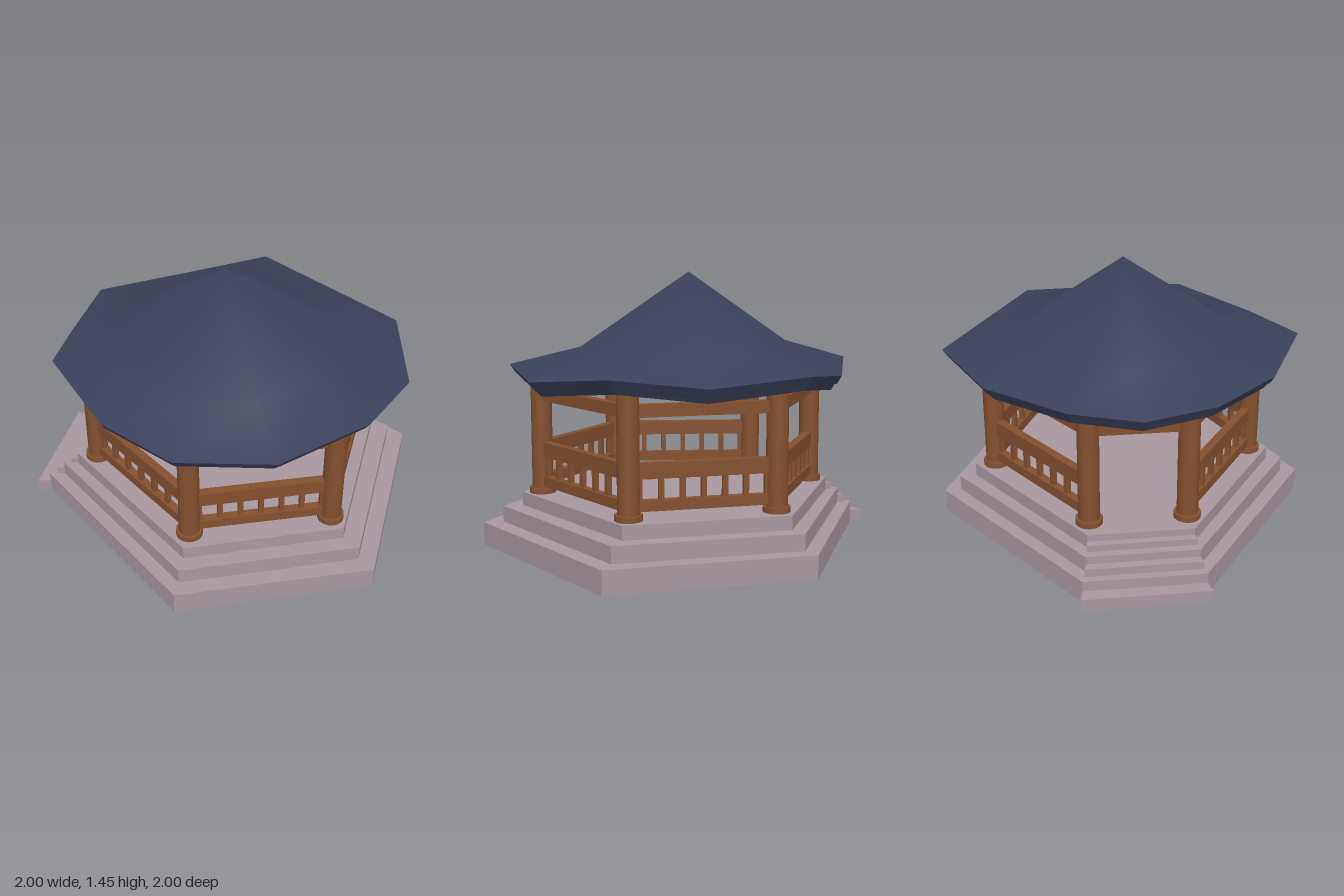
import * as THREE from 'three';
import { mergeVertices } from 'three/addons/utils/BufferGeometryUtils.js';

const stone = new THREE.MeshStandardMaterial({ color: 0xa8979f });
const wood = new THREE.MeshStandardMaterial({ color: 0x84502f });
const tile = new THREE.MeshStandardMaterial({ color: 0x3b415b });
stone.name = 'stone';
wood.name = 'wood';
tile.name = 'roofTile';

const CX = 0.02; // x of the pavilion's own centre

export function createModel() {
  const model = new THREE.Group();
  model.name = 'pavilion';

  const add = (name, geometry, material, parent = model) => {
    const mesh = new THREE.Mesh(geometry, material);
    mesh.name = name;
    parent.add(mesh);
    return mesh;
  };

  // Upright prism over a plan outline given as [x, z] pairs
  const prism = (name, outline, y0, y1, hole) => {
    const points = (list) => list.map(([x, z]) => new THREE.Vector2(x, -z));
    const shape = new THREE.Shape(points(outline));
    // The hole runs the other way round, so its walls face inwards
    if (hole) shape.holes.push(new THREE.Path(points(hole).reverse()));
    const geometry = new THREE.ExtrudeGeometry(shape, { depth: y1 - y0, bevelEnabled: false });
    geometry.rotateX(-Math.PI / 2).translate(0, y0, 0);
    add(name, geometry, stone);
  };

  // Uneven hexagon, mirrored in z: right pair, apex pair, left pair
  const hexagon = (rx, rz, apex, lx, lz) => [
    [rx, -rz], [rx, rz], [CX, apex], [lx, lz], [lx, -lz], [CX, -apex],
  ];

  // Stepped platform, the lowest tier hollow underneath
  const low = hexagon(0.97, 0.565, 1, -0.93, 0.31);
  const lowInside = low.map(([x, z]) => [CX + (x - CX) * 0.985, z * 0.985]);
  prism('lowerTierWall', low, 0, 0.11, lowInside);
  prism('lowerTierTop', low, 0.11, 0.122);
  prism('middleTier', hexagon(0.88, 0.51, 0.91, -0.845, 0.288), 0.122, 0.208);
  prism('floorTier', hexagon(0.785, 0.465, 0.82, -0.765, 0.27), 0.208, 0.28);

  // Entrance steps on the narrow side, with a support inside the hollow tier
  const step = (name, x0, w0, x1, w1, y0, y1) =>
    prism(name, [[x0, w0], [x0, -w0], [x1, -w1], [x1, w1]], y0, y1);
  step('entranceStep', -1, 0.325, -0.87, 0.3, 0, 0.067);
  step('stepSupport', -0.9, 0.305, -0.74, 0.3, 0.067, 0.11);
  step('entranceStep', -0.89, 0.297, -0.82, 0.28, 0.122, 0.165);
  step('entranceStep', -0.803, 0.278, -0.74, 0.265, 0.208, 0.243);

  // Columns with round footings
  const posts = hexagon(0.7, 0.398, 0.705, -0.643, 0.25);
  for (const [x, z] of posts) {
    const column = new THREE.Group();
    column.name = 'column';
    column.position.set(x, 0, z);
    model.add(column);
    add('columnShaft', new THREE.CylinderGeometry(0.055, 0.055, 0.68, 24), wood, column).position.y = 0.63;
    add('columnFooting', new THREE.CylinderGeometry(0.069, 0.069, 0.03, 24), wood, column).position.y = 0.295;
  }

  // Beams all round, railings on every side but the entrance
  posts.forEach(([x0, z0], i) => {
    const [x1, z1] = posts[(i + 1) % 6];
    const length = Math.hypot(x1 - x0, z1 - z0);
    const side = new THREE.Group();
    side.name = 'railingSide';
    side.position.set((x0 + x1) / 2, 0, (z0 + z1) / 2);
    side.rotation.y = -Math.atan2(z1 - z0, x1 - x0);
    model.add(side);
    const bar = (name, y0, y1) =>
      add(name, new THREE.BoxGeometry(length - 0.09, y1 - y0, 0.045), wood, side).position.y = (y0 + y1) / 2;
    bar('topBeam', 0.778, 0.84);
    if (i === 3) return;
    bar('handRail', 0.48, 0.558);
    bar('bottomRail', 0.322, 0.375);
    for (let k = 0; k < 7; k++) {
      add('baluster', new THREE.BoxGeometry(0.026, 0.115, 0.026), wood, side)
        .position.set(((k + 0.5) / 7 - 0.5) * length, 0.427, 0);
    }
  });

  // Eave outline: raised corners alternate with lower midpoints
  const eave = [
    [0.997, 0], [0.86, 0.44], [0.49, 0.79], [CX, 0.955], [-0.415, 0.725], [-0.81, 0.357],
    [-0.84, 0], [-0.802, -0.355], [-0.385, -0.743], [CX, -0.955], [0.49, -0.755], [0.86, -0.48],
  ];
  const eaveY = (i) => (i % 2 ? 0.975 : 0.93);
  const bendY = (i) => (i % 2 ? 1.06 : 1.048) + (i > 4 && i < 8 ? 0.015 : 0);

  // Skin over rings of [scale, height rule], each ring joined to the next
  const loft = (rings, smooth) => {
    const position = [];
    const index = [];
    const n = eave.length;
    rings.forEach(([s, height], r) => {
      eave.forEach(([x, z], i) => position.push(CX + (x - CX) * s, height(i), z * s));
      if (r === 0) return;
      for (let i = 0; i < n; i++) {
        const j = (i + 1) % n;
        const a = (r - 1) * n;
        const b = r * n;
        if (rings[r][0] > 0) index.push(a + i, b + j, b + i);
        if (rings[r - 1][0] > 0) index.push(a + i, a + j, b + j);
      }
    });
    let geometry = new THREE.BufferGeometry();
    geometry.setAttribute('position', new THREE.Float32BufferAttribute(position, 3));
    geometry.setIndex(index);
    geometry = smooth ? mergeVertices(geometry) : geometry.toNonIndexed();
    geometry.computeVertexNormals();
    return geometry;
  };
  const below = (rule, d) => (i) => rule(i) - d;

  // Roof: tiled slope, two-band eave and hollow underside
  const roof = new THREE.Group();
  roof.name = 'roof';
  model.add(roof);
  add('roofSlope', loft([[0, () => 1.45], [0.61, bendY], [1, eaveY]], true), tile, roof);
  add('eaveEdge', loft([
    [1, eaveY], [0.972, below(eaveY, 0.04)], [0.955, below(eaveY, 0.044)],
    [0.935, below(eaveY, 0.074)], [0.9, below(eaveY, 0.068)],
  ], false), tile, roof);
  add('roofUnderside', loft([
    [0.9, below(eaveY, 0.068)], [0.61, below(bendY, 0.05)], [0, () => 1.39],
  ], true), tile, roof);

  return model;
}
